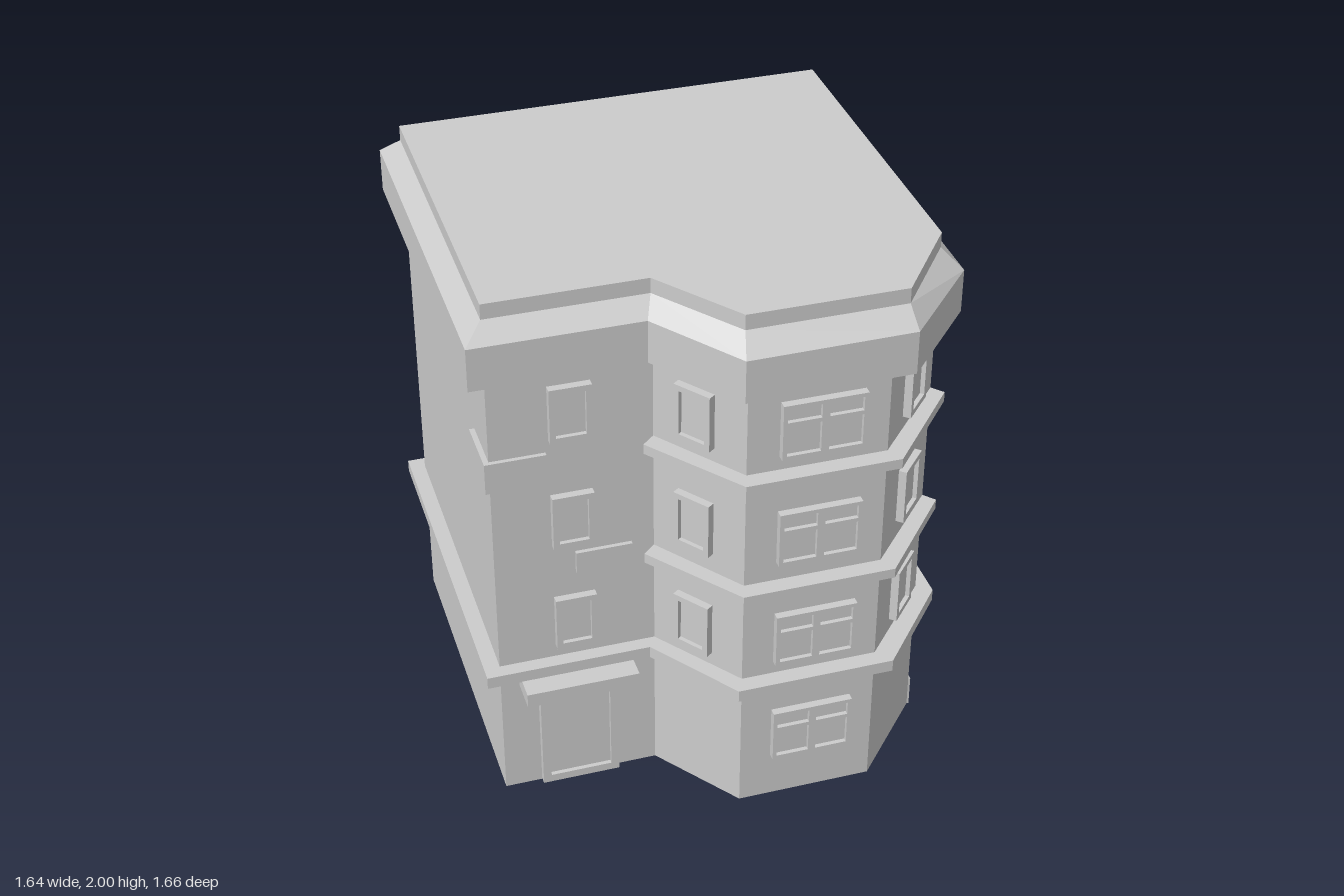
import * as THREE from 'three';
import { mergeGeometries } from 'three/addons/utils/BufferGeometryUtils.js';

const material = new THREE.MeshStandardMaterial({ color: 0xcccccc, flatShading: true });

// Floor outlines as [x, z], running from the back corner at -x round by +x to the front
const wallPlan = [[-0.76, -0.77], [0.76, -0.77], [0.76, 0.46], [0.49, 0.76], [0.01, 0.76], [-0.21, 0.46], [-0.76, 0.46]];
const beltPlan = [[-0.815, -0.82], [0.81, -0.82], [0.81, 0.5], [0.535, 0.82], [-0.02, 0.82], [-0.24, 0.51], [-0.815, 0.51]];
const cornicePlan = [[-0.825, -0.835], [0.82, -0.835], [0.82, 0.52], [0.545, 0.825], [-0.022, 0.83], [-0.243, 0.52], [-0.825, 0.52]];
const roofPlan = [[-0.76, -0.775], [0.76, -0.775], [0.76, 0.457], [0.54, 0.75], [0, 0.75], [-0.215, 0.457], [-0.76, 0.457]];
const bayLedgePlan = [[-0.21, 0.46], [0.76, 0.46], [0.795, 0.5], [0.52, 0.82], [-0.01, 0.82], [-0.255, 0.5]];

// Joins outlines at rising heights into a closed solid; levels are [plan, y]
function loft(levels) {
  const pos = [];
  for (let k = 0; k < levels.length - 1; k++) {
    const [lower, y0] = levels[k], [upper, y1] = levels[k + 1];
    for (let i = 0; i < lower.length; i++) {
      const j = (i + 1) % lower.length;
      const a = [lower[i][0], y0, lower[i][1]], b = [lower[j][0], y0, lower[j][1]];
      const c = [upper[j][0], y1, upper[j][1]], d = [upper[i][0], y1, upper[i][1]];
      pos.push(...a, ...c, ...b, ...a, ...d, ...c);
    }
  }
  const sides = new THREE.BufferGeometry();
  sides.setAttribute('position', new THREE.Float32BufferAttribute(pos, 3));
  sides.computeVertexNormals();
  const cap = ([plan, y], sign) => {
    const shape = new THREE.Shape(plan.map(([x, z]) => new THREE.Vector2(x, -sign * z)));
    const g = new THREE.ShapeGeometry(shape).rotateX(-sign * Math.PI / 2).translate(0, y, 0).toNonIndexed();
    g.deleteAttribute('uv');
    return g;
  };
  return mergeGeometries([sides, cap(levels[0], -1), cap(levels[levels.length - 1], 1)]);
}

function addMesh(parent, name, geometry) {
  const mesh = new THREE.Mesh(geometry, material);
  mesh.name = name;
  parent.add(mesh);
  return mesh;
}

function addBox(parent, name, [x0, x1], [y0, y1], [z0, z1]) {
  const box = addMesh(parent, name, new THREE.BoxGeometry(x1 - x0, y1 - y0, z1 - z0));
  box.position.set((x0 + x1) / 2, (y0 + y1) / 2, (z0 + z1) / 2);
}

function rectangle(Type, x0, x1, y0, y1) {
  return new Type([[x0, y0], [x1, y0], [x1, y1], [x0, y1]].map((p) => new THREE.Vector2(...p)));
}

// Frame with openings [x0, x1, y0, y1] and a recessed panel, standing on its bottom edge
function addFramed(parent, name, width, height, holes, [x, y, z], angle, depth = 0.028) {
  const group = new THREE.Group();
  group.name = name;
  const outline = rectangle(THREE.Shape, -width / 2, width / 2, 0, height);
  outline.holes = holes.map((h) => rectangle(THREE.Path, ...h));
  addMesh(group, 'frame', new THREE.ExtrudeGeometry(outline, { depth, bevelEnabled: false }));
  addBox(group, 'panel', [-width / 2 + 0.01, width / 2 - 0.01], [0.01, height - 0.01], [-0.01, depth * 0.45]);
  group.position.set(x, y, z);
  group.rotation.y = angle;
  parent.add(group);
}

export function createModel() {
  const model = new THREE.Group();
  model.name = 'apartmentBuilding';

  // Main body, horizontal bands and roof
  addMesh(model, 'walls', loft([[wallPlan, 0], [wallPlan, 1.72]]));
  addMesh(model, 'groundFloorBelt', loft([[beltPlan, 0.51], [beltPlan, 0.555]]));
  for (const y of [0.92, 1.367]) {
    addMesh(model, 'bayLedge', loft([[bayLedgePlan, y], [bayLedgePlan, y + 0.037]]));
  }
  addMesh(model, 'corniceAndRoof', loft([
    [wallPlan, 1.71], [cornicePlan, 1.73], [cornicePlan, 1.885], [roofPlan, 1.945], [roofPlan, 2],
  ]));

  // Windows, floor by floor
  const single = [[-0.051, 0.051, 0.021, 0.186]];
  const double = [];
  for (const x of [-0.128, 0.013]) double.push([x, x + 0.115, 0.015, 0.128], [x, x + 0.115, 0.143, 0.194]);
  const bayLeft = Math.atan2(0.27, 0.3) + 0;
  const slopeRight = Math.atan2(0.3, 0.27);
  const slopeLeft = -Math.atan2(0.3, 0.22);
  [0.18, 0.605, 1.03, 1.455].forEach((y, floor) => {
    addFramed(model, 'bayFrontWindow', 0.285, 0.208, double, [0.2625, y, 0.76], 0);
    if (floor === 0) return;
    addFramed(model, 'wingWindow', 0.143, 0.207, single, [-0.49, y, 0.46], 0);
    addFramed(model, 'sideWindow', 0.143, 0.207, single, [0.76, y, -0.113], Math.PI / 2);
    addFramed(model, 'bayLeftWindow', 0.143, 0.207, single, [0.625, y, 0.61], slopeRight);
    addFramed(model, 'bayRightWindow', 0.143, 0.207, single, [-0.107, y, 0.6], slopeLeft);
  });

  // Entrance
  addFramed(model, 'door', 0.278, 0.45, [[-0.11, 0.11, 0.03, 0.42]], [-0.49, 0.005, 0.46], 0);
  addBox(model, 'doorCanopy', [-0.695, -0.3], [0.458, 0.512], [0.45, 0.585]);

  // Exposed stone blocks
  addBox(model, 'cornerBlock', [-0.778, -0.572], [1.295, 1.41], [0.26, 0.475]);
  addBox(model, 'wingBlock', [-0.483, -0.288], [0.907, 0.99], [0.4, 0.475]);
  addBox(model, 'sideBlock', [0.7, 0.774], [1.362, 1.45], [0.09, 0.305]);
  addBox(model, 'sideBaseBlock', [0.7, 0.768], [0, 0.12], [0.19, 0.46]);
  addBox(model, 'backCornerBlock', [0.54, 0.772], [0.755, 0.855], [-0.785, -0.545]);

  return model;
}
